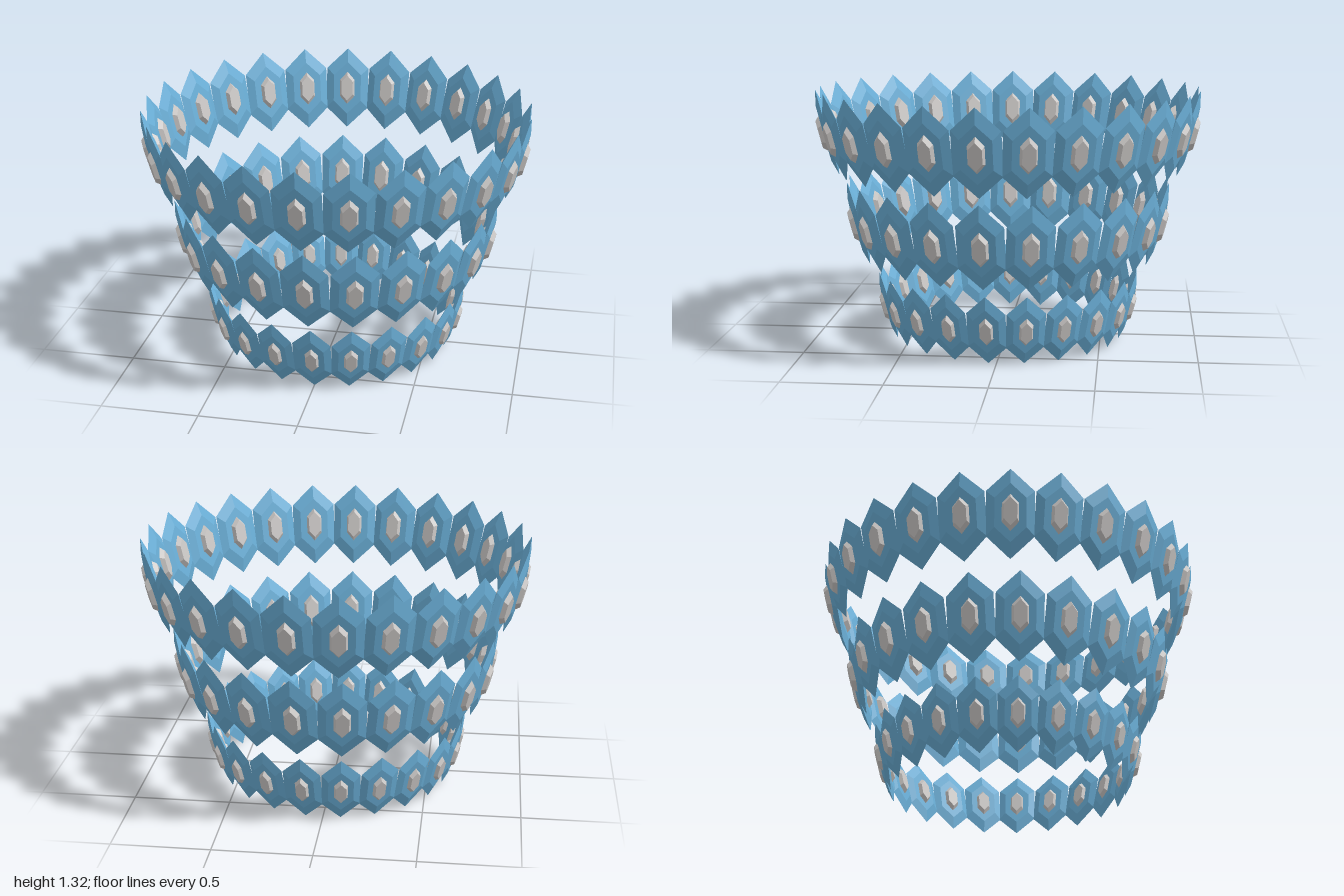
import * as THREE from 'three';

const blue = new THREE.MeshStandardMaterial({ color: 0x6aaed6, flatShading: true });
blue.name = 'blue panel';
const grey = new THREE.MeshStandardMaterial({ color: 0xccc9c7, flatShading: true });
grey.name = 'grey gem';

const TILT = 0.253; // outward lean of every panel

// Six-sided solid with bevelled faces towards +z and -z and points up and down
function hexSolid(profile, widthScale) {
  const points = profile.map(([r, h]) => new THREE.Vector2(r, h));
  return new THREE.LatheGeometry(points, 6).rotateX(Math.PI / 2).scale(widthScale, 1, 1);
}

// Panel: thin rim rising to a flat centre on both sides
const panelGeometry = hexSolid(
  [[0, -0.02], [0.148, -0.02], [0.227, 0], [0.148, 0.02], [0, 0.02]], 0.607);

// Gem: passes through the panel and shows inside and outside
const gemGeometry = hexSolid(
  [[0, -0.043], [0.072, -0.043], [0.095, -0.018], [0.095, 0.018], [0.072, 0.043], [0, 0.043]], 0.52);

function makeRing({ name, count, radius, y, size }) {
  const ring = new THREE.Group();
  ring.name = name;
  for (let i = 0; i < count; i++) {
    const angle = (i / count) * Math.PI * 2;
    const link = new THREE.Group();
    link.name = 'link';
    const panel = new THREE.Mesh(panelGeometry, blue);
    panel.name = 'panel';
    const gem = new THREE.Mesh(gemGeometry, grey);
    gem.name = 'gem';
    link.add(panel, gem);
    link.rotation.set(TILT, angle, 0, 'YXZ');
    link.position.set(Math.sin(angle) * radius, y, Math.cos(angle) * radius);
    link.scale.setScalar(size);
    ring.add(link);
  }
  return ring;
}

export function createModel() {
  const model = new THREE.Group();
  model.name = 'tieredRings';
  model.add(
    makeRing({ name: 'topRing', count: 25, radius: 0.944, y: 1.1, size: 1 }),
    makeRing({ name: 'middleRing', count: 21, radius: 0.795, y: 0.625, size: 0.99 }),
    makeRing({ name: 'bottomRing', count: 21, radius: 0.645, y: 0.18, size: 0.818 })
  );
  model.position.z = -0.004;
  return model;
}
